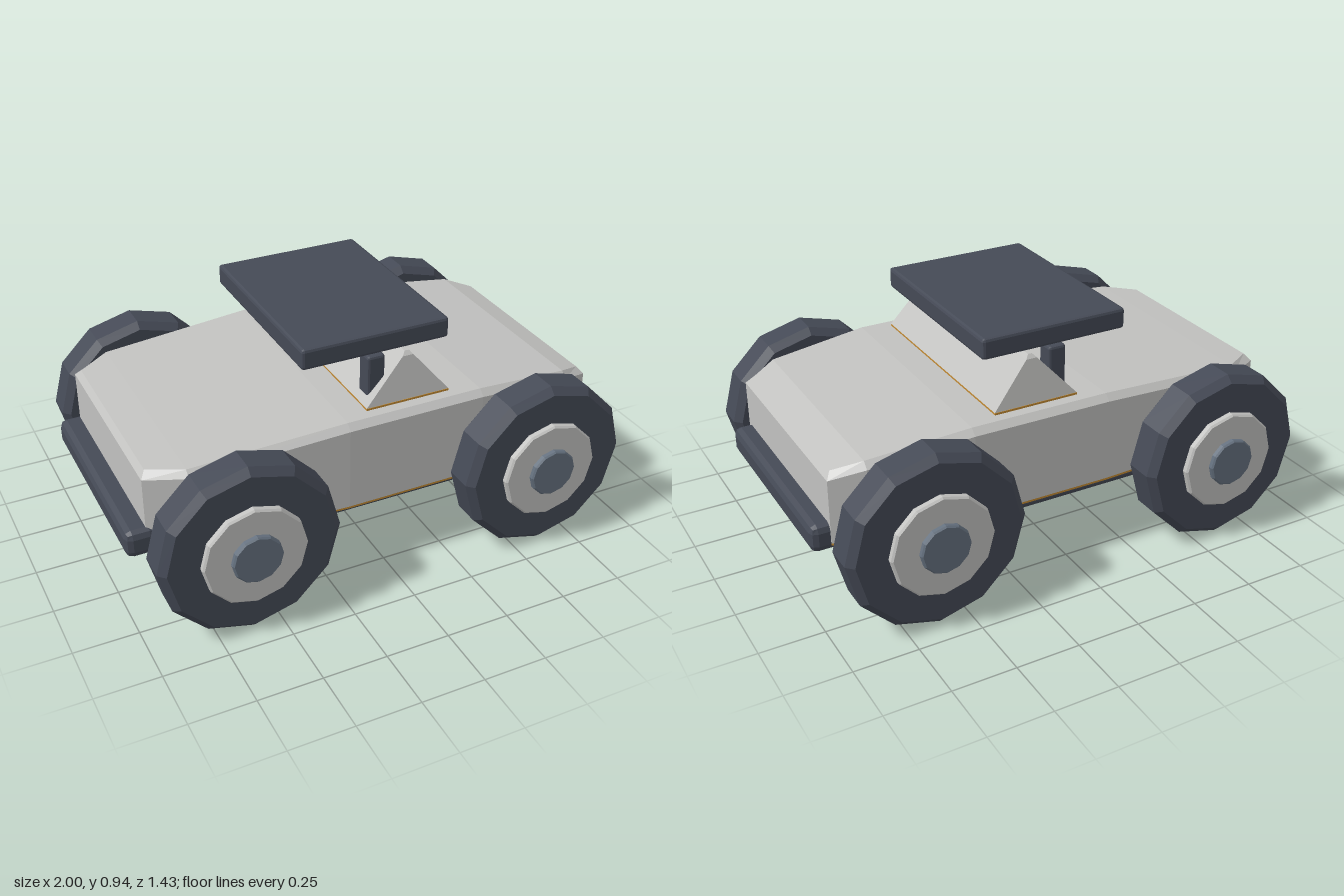
import * as THREE from 'three';
import { RoundedBoxGeometry } from 'three/addons/geometries/RoundedBoxGeometry.js';

const paint = (name, color, flat = true) => {
  const m = new THREE.MeshStandardMaterial({ color, flatShading: flat });
  m.name = name;
  return m;
};

export function createModel() {
  const car = new THREE.Group();
  car.name = 'buggy';
  const light = paint('lightGrey', 0xc2c2c0);
  const dark = paint('darkSlate', 0x454a56);
  const steel = paint('steelBlue', 0x65717f);
  const gold = paint('goldTrim', 0xc48c34);

  const add = (name, geometry, material, parent = car) => {
    const mesh = new THREE.Mesh(geometry, material);
    mesh.name = name;
    parent.add(mesh);
    return mesh;
  };

  // Box with softened edges, given by its limits on each axis
  const block = (name, [x0, x1], [y0, y1], [z0, z1], bevel, material = dark) => {
    const g = new RoundedBoxGeometry(x1 - x0, y1 - y0, z1 - z0, 1, bevel);
    add(name, g, material).position.set((x0 + x1) / 2, (y0 + y1) / 2, (z0 + z1) / 2);
  };

  // Closed hull through rings of [x, halfWidth, y] stations, mirrored in z
  const hull = (rings) => {
    const loops = rings.map((r) => [
      ...r.map(([x, w, y]) => [x, y, w]),
      ...r.map(([x, w, y]) => [x, y, -w]).reverse(),
    ]);
    const n = loops[0].length;
    const out = [];
    const quad = (a, b, c, d) => out.push(...a, ...b, ...c, ...a, ...c, ...d);
    for (let k = 0; k + 1 < loops.length; k++) {
      for (let i = 0; i < n; i++) {
        const j = (i + 1) % n;
        quad(loops[k][i], loops[k][j], loops[k + 1][j], loops[k + 1][i]);
      }
    }
    const bottom = loops[0];
    const top = loops[loops.length - 1];
    for (let i = 0; i < n / 2 - 1; i++) {
      quad(top[i], top[i + 1], top[n - 2 - i], top[n - 1 - i]);
      quad(bottom[n - 1 - i], bottom[n - 2 - i], bottom[i + 1], bottom[i]);
    }
    const g = new THREE.BufferGeometry();
    g.setAttribute('position', new THREE.Float32BufferAttribute(out, 3));
    g.computeVertexNormals();
    return g;
  };

  // Body shell: x, half width, roof height
  const stations = [
    [-0.917, 0.41, 0.613], [-0.77, 0.49, 0.625], [-0.16, 0.52, 0.665],
    [0.4, 0.517, 0.665], [0.8, 0.483, 0.625], [0.928, 0.43, 0.59],
  ];
  const level = (y) => stations.map(([x, w]) => [x, w, y]);
  const shoulder = stations.map(([x, w, y]) => [x, w, y - 0.025]);
  const crown = stations.map(([x, w, y], i) =>
    [x + (i === 0 ? 0.02 : i === 5 ? -0.02 : 0), w - 0.025, y]);
  add('body', hull([level(0.311), shoulder, crown]), light);
  add('bodyTrim', hull([level(0.303), level(0.311)]), gold);

  // Wedge cabin with a trim plate below
  const span = (x0, x1, w, y) => [[x0, w, y], [x1, w, y]];
  add('cabin', hull([
    span(-0.06, 0.285, 0.45, 0.673),
    span(0.098, 0.142, 0.425, 0.842),
    span(0.112, 0.128, 0.412, 0.857),
  ]), light);
  add('cabinTrim', hull([
    span(-0.06, 0.285, 0.452, 0.664),
    span(-0.06, 0.285, 0.452, 0.673),
  ]), gold);

  // Roof and its posts
  block('roof', [-0.295, 0.305], [0.862, 0.945], [-0.4, 0.4], 0.012);
  for (const s of [-1, 1]) {
    block('roofPost', [-0.036, 0.036], [0.63, 0.858], [s * 0.372 - 0.036, s * 0.372 + 0.036], 0.01);
  }

  // Chassis and bumpers
  block('chassis', [-0.84, 0.81], [0.2, 0.292], [-0.412, 0.412], 0.02);
  block('rearBumper', [-1, -0.88], [0.28, 0.388], [-0.435, 0.435], 0.028);
  block('frontBumper', [0.88, 1], [0.28, 0.388], [-0.428, 0.428], 0.028);

  // Twelve-sided wheels: chamfered discs along z
  const disc = (radius, z0, z1, bevel, sides = 12) => {
    const profile = [
      [0, z0], [radius - bevel, z0], [radius, z0 + bevel],
      [radius, z1 - bevel], [radius - bevel, z1], [0, z1],
    ].map(([r, y]) => new THREE.Vector2(r, y));
    return new THREE.LatheGeometry(profile, sides).rotateX(Math.PI / 2);
  };
  const tyre = disc(0.349, 0.505, 0.668, 0.028);
  const rim = disc(0.2, 0.66, 0.694, 0.007);
  const cap = disc(0.097, 0.68, 0.715, 0.006);
  for (const x of [-0.61, 0.615]) {
    for (const turn of [0, Math.PI]) {
      const wheel = new THREE.Group();
      wheel.name = 'wheel';
      wheel.position.set(x, 0.349, 0);
      wheel.rotation.y = turn;
      add('tyre', tyre, dark, wheel);
      add('rim', rim, light, wheel);
      add('hubCap', cap, steel, wheel);
      car.add(wheel);
    }
  }
  return car;
}
